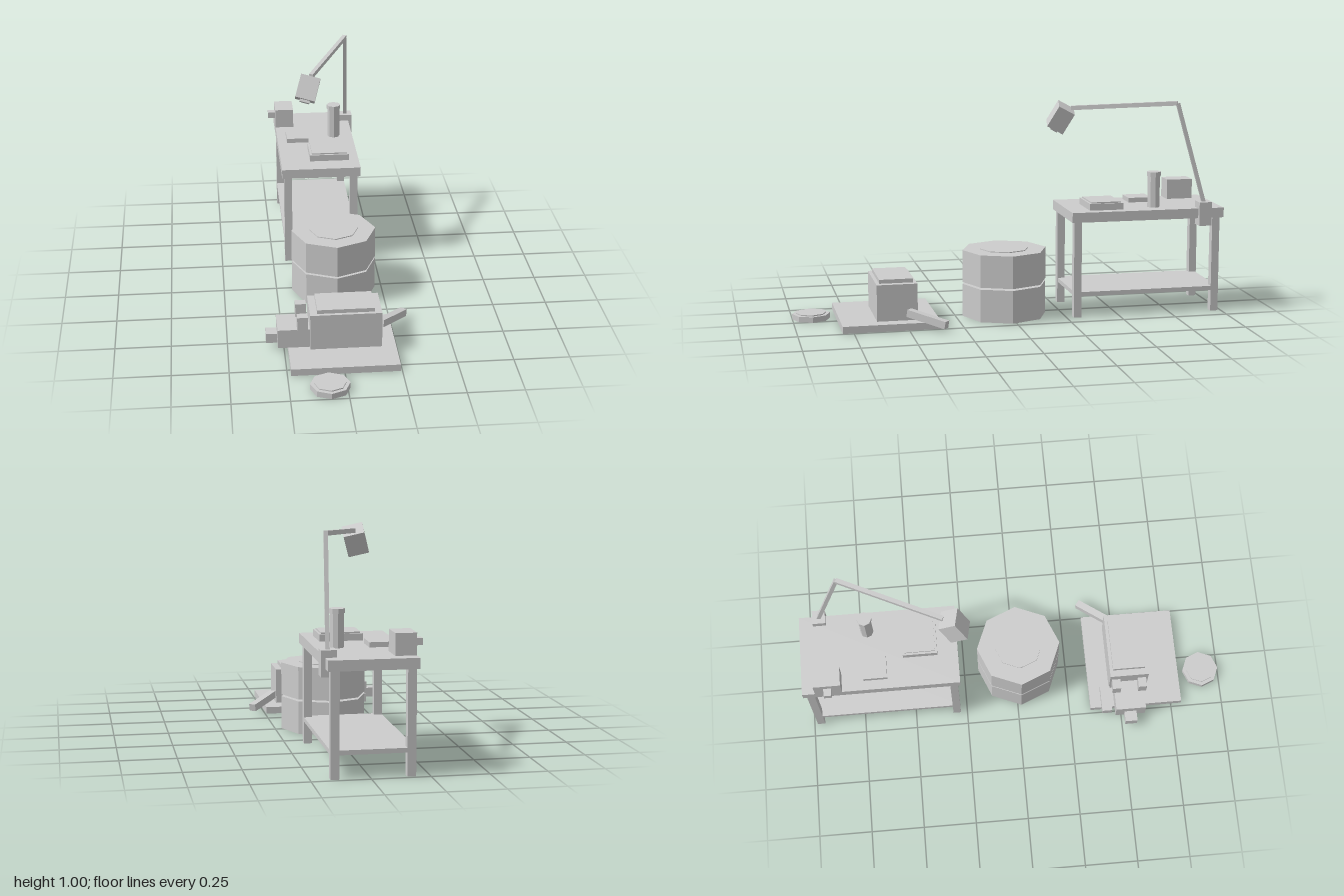
import * as THREE from 'three';

const grey = new THREE.MeshStandardMaterial({ color: 0xcccccc });
grey.name = 'plain grey';

function addMesh(parent, name, geometry) {
  const mesh = new THREE.Mesh(geometry, grey);
  mesh.name = name;
  parent.add(mesh);
  return mesh;
}

// Box from its lower and upper corners
function box(parent, name, [x0, y0, z0], [x1, y1, z1]) {
  const mesh = addMesh(parent, name, new THREE.BoxGeometry(x1 - x0, y1 - y0, z1 - z0));
  mesh.position.set((x0 + x1) / 2, (y0 + y1) / 2, (z0 + z1) / 2);
  return mesh;
}

// Upright eight-sided prism with hard facets
function prism(parent, name, x, z, y0, y1, rBottom, rTop = rBottom) {
  const geometry = new THREE.CylinderGeometry(rTop, rBottom, y1 - y0, 8).toNonIndexed();
  geometry.computeVertexNormals();
  const mesh = addMesh(parent, name, geometry);
  mesh.position.set(x, (y0 + y1) / 2, z);
  return mesh;
}

// Square bar between two points
function bar(parent, name, from, to, width) {
  const a = new THREE.Vector3(...from), b = new THREE.Vector3(...to);
  const mesh = addMesh(parent, name, new THREE.BoxGeometry(width, width, a.distanceTo(b)));
  mesh.position.copy(a).add(b).multiplyScalar(0.5);
  mesh.lookAt(b);
  return mesh;
}

function section(parent, name) {
  const group = new THREE.Group();
  group.name = name;
  parent.add(group);
  return group;
}

export function createModel() {
  const model = new THREE.Group();
  model.name = 'workshopSet';

  // Workbench
  const bench = section(model, 'workbench');
  box(bench, 'benchTop', [-0.2, 0.45, -1], [0.18, 0.496, -0.27]);
  for (const x of [-0.19, 0.13]) {
    for (const z of [-0.985, -0.318]) {
      box(bench, 'benchLeg', [x, 0, z], [x + 0.037, 0.45, z + 0.036]);
    }
  }
  box(bench, 'lowerShelf', [-0.19, 0.1, -0.98], [0.167, 0.12, -0.285]);

  // Things lying on the bench
  const items = section(model, 'benchItems');
  box(items, 'toolBox', [-0.2, 0.496, -0.94], [-0.109, 0.59, -0.815]);
  box(items, 'toolBoxKnob', [-0.235, 0.53, -0.895], [-0.2, 0.56, -0.86]);
  box(items, 'smallTray', [-0.155, 0.496, -0.714], [-0.048, 0.518, -0.604]);
  box(items, 'largeTray', [-0.058, 0.496, -0.525], [0.133, 0.527, -0.365]);
  box(items, 'largeTrayLid', [-0.048, 0.527, -0.515], [0.123, 0.533, -0.375]);
  prism(items, 'flaskBody', 0.086, -0.685, 0.496, 0.642, 0.03);
  prism(items, 'flaskCap', 0.086, -0.685, 0.642, 0.663, 0.034);

  // Clamped desk lamp
  const lamp = section(model, 'lamp');
  box(lamp, 'lampClamp', [0.133, 0.416, -0.935], [0.198, 0.527, -0.875]);
  const elbow = [0.15, 0.988, -0.775];
  bar(lamp, 'lowerArm', [0.166, 0.52, -0.905], elbow, 0.018);
  bar(lamp, 'upperArm', elbow, [-0.055, 0.955, -0.32], 0.02);

  // Lamp head, tilted with its open end down and forward
  const head = section(lamp, 'lampHead');
  const down = new THREE.Vector3(-0.032, -0.095, 0.05).normalize();
  const side = new THREE.Vector3(0.09, -0.021, 0.017);
  side.addScaledVector(down, -side.dot(down)).normalize();
  const up = down.clone().negate();
  const front = new THREE.Vector3().crossVectors(side, up);
  head.quaternion.setFromRotationMatrix(new THREE.Matrix4().makeBasis(side, up, front));
  head.position.set(-0.074, 0.91, -0.273);
  box(head, 'lampShade', [-0.047, -0.056, -0.042], [0.047, 0.056, 0.042]);
  box(head, 'lampBulb', [-0.024, -0.068, -0.018], [0.024, -0.056, 0.018]);

  // Two stacked drums with a slim gap
  const drums = section(model, 'stackedDrums');
  prism(drums, 'lowerDrum', 0.021, 0.018, 0, 0.153, 0.198);
  prism(drums, 'upperDrum', 0.021, 0.018, 0.162, 0.313, 0.198);
  prism(drums, 'drumLid', 0.021, 0.018, 0.313, 0.317, 0.115);

  // Machine on its base plate
  const machine = section(model, 'machine');
  box(machine, 'basePlate', [-0.234, 0, 0.353], [0.243, 0.032, 0.8]);
  box(machine, 'housing', [-0.138, 0.032, 0.452], [0.18, 0.2, 0.638]);
  box(machine, 'housingLid', [-0.106, 0.2, 0.467], [0.149, 0.218, 0.622]);
  box(machine, 'sideMotor', [-0.28, 0.032, 0.47], [-0.138, 0.12, 0.614]);
  box(machine, 'motorShaft', [-0.33, 0.035, 0.512], [-0.28, 0.08, 0.57]);
  box(machine, 'sideRail', [-0.265, 0.032, 0.406], [-0.14, 0.07, 0.454]);
  for (const z of [0.459, 0.584]) {
    box(machine, 'motorLug', [-0.194, 0.12, z], [-0.147, 0.184, z + 0.04]);
  }
  bar(machine, 'lever', [0.19, 0.07, 0.495], [0.314, 0.035, 0.342], 0.034);

  // Shallow disc in front
  const disc = section(model, 'disc');
  prism(disc, 'discBody', -0.075, 0.913, 0, 0.026, 0.087);
  prism(disc, 'discTop', -0.075, 0.913, 0.026, 0.031, 0.07);

  return model;
}
